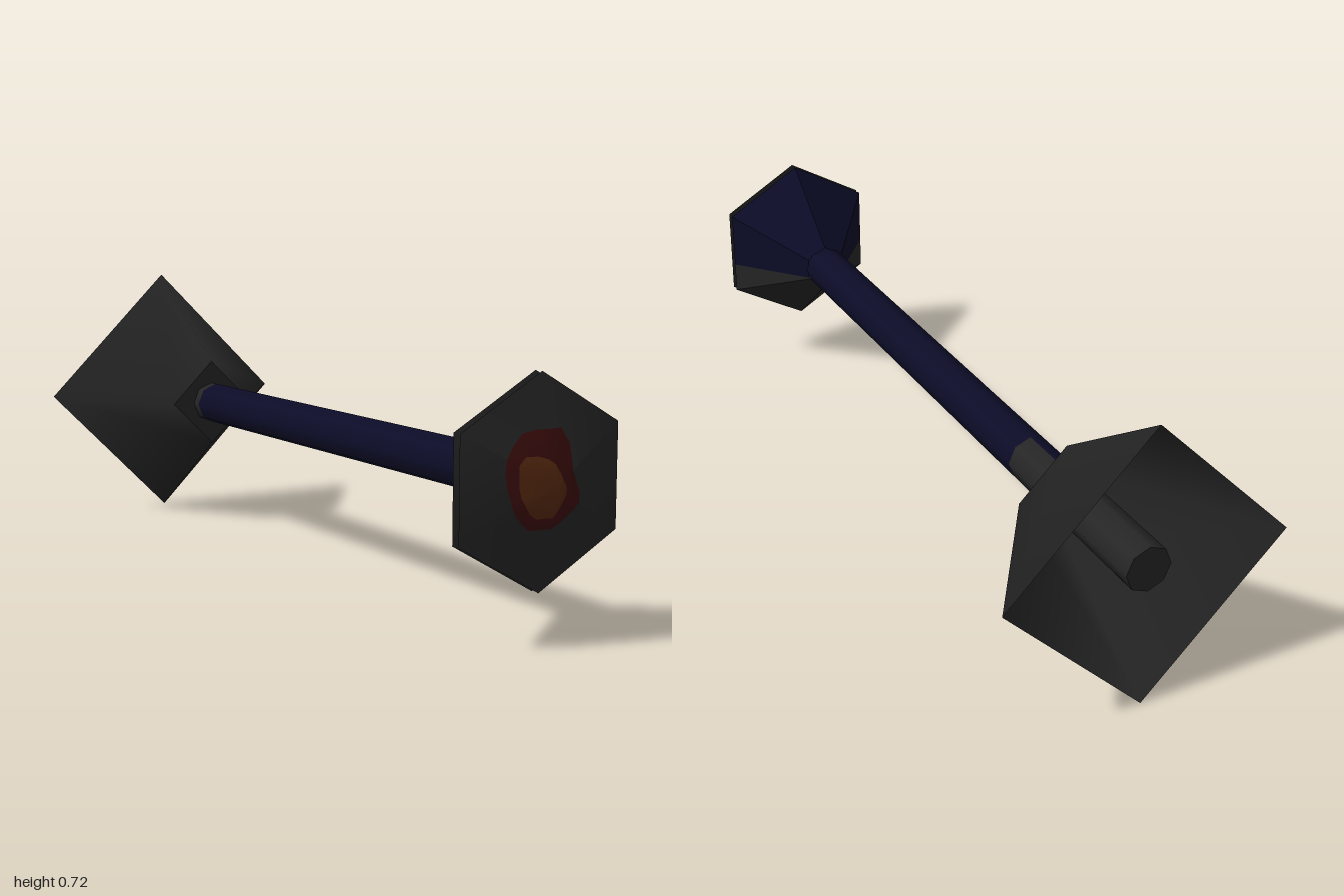
import * as THREE from 'three';

const MID = 0.358; // height of the long axis
const LENS_R = 0.237, LENS_Z = 0.937;

function material(name, color) {
  const m = new THREE.MeshStandardMaterial({ color, side: THREE.DoubleSide });
  m.name = name;
  return m;
}

export function createModel() {
  const grey = material('charcoal grey', 0x262626);
  const navy = material('dark navy', 0x0c0c28);
  const red = material('dark red', 0x3c0d0d);
  const orange = material('burnt orange', 0x552810);

  const model = new THREE.Group();
  model.name = 'torch';
  const body = new THREE.Group();
  body.name = 'body';
  body.position.y = MID;
  model.add(body);

  const add = (name, geometry, mat) => {
    const mesh = new THREE.Mesh(geometry, mat);
    mesh.name = name;
    body.add(mesh);
    return mesh;
  };

  // Tapered tube along z from zBack to zFront
  const tube = (rBack, rFront, zBack, zFront, sides, open = true, start = 0, sweep = Math.PI * 2) =>
    new THREE.CylinderGeometry(rFront, rBack, zFront - zBack, sides, 1, open, start, sweep)
      .rotateX(Math.PI / 2)
      .translate(0, 0, (zFront + zBack) / 2);

  // Four-sided flared bell, open at the back, with a flat front plate
  add('bell', tube(0.358, 0.12, -1, -0.65, 4), grey);
  add('bellPlate', new THREE.CircleGeometry(0.12, 4).translate(0, 0, -0.65), grey);

  // Shaft: navy, with a grey end that reaches further forward on the left
  add('shaftLeft', tube(0.057, 0.057, -0.49, 0.72, 4, true, 0, Math.PI), navy);
  add('shaftRight', tube(0.057, 0.057, -0.62, 0.72, 4, true, Math.PI, Math.PI), navy);
  add('shaftEndLeft', tube(0.057, 0.057, -0.62, -0.49, 4, true, 0, Math.PI), grey);
  add('shaftEnd', tube(0.057, 0.057, -0.995, -0.62, 8, false), grey);

  // Six-sided head, split lengthwise into a navy top and a grey underside
  const section = (r, split, z) => {
    const w = r * Math.cos(Math.PI / 6), h = r / 2;
    return {
      top: [[w, split, z], [w, h, z], [0, r, z], [-w, h, z], [-w, split, z]],
      under: [[-w, split, z], [-w, -h, z], [0, -r, z], [w, -h, z], [w, split, z]],
    };
  };
  const back = section(0.06, -0.026, 0.71), front = section(LENS_R, -0.035, 0.914);
  const loft = (a, b) => {
    const p = [];
    for (let i = 0; i < a.length - 1; i++) {
      p.push(...a[i], ...a[i + 1], ...b[i + 1], ...a[i], ...b[i + 1], ...b[i]);
    }
    const g = new THREE.BufferGeometry();
    g.setAttribute('position', new THREE.Float32BufferAttribute(p, 3));
    g.computeVertexNormals();
    return g;
  };
  add('headTop', loft(back.top, front.top), navy);
  add('headUnderside', loft(back.under, front.under), grey);
  add('headFront', tube(LENS_R, 0, 0.914, 0.975, 6), grey);

  // Shallow six-sided lens
  add('lens', tube(LENS_R, 0, LENS_Z, 0.998, 6), grey);

  // Glow patches: outlines given as radii every 15 degrees, laid on the lens
  const patch = (radii, lift) => {
    const n = radii.length, p = [], index = [];
    const slope = (0.998 - LENS_Z) / (LENS_R * Math.cos(Math.PI / 6));
    p.push(0, 0, 0.998 + lift);
    radii.forEach((r, i) => {
      const a = (i / n) * Math.PI * 2;
      const facet = Math.round(a / (Math.PI / 3)) * (Math.PI / 3);
      p.push(r * Math.cos(a), r * Math.sin(a), 0.998 + lift - slope * r * Math.cos(a - facet));
      index.push(0, i + 1, ((i + 1) % n) + 1);
    });
    const g = new THREE.BufferGeometry();
    g.setAttribute('position', new THREE.Float32BufferAttribute(p, 3));
    g.setIndex(index);
    g.computeVertexNormals();
    return g;
  };
  add('outerGlow', patch([
    0.063, 0.058, 0.057, 0.071, 0.1, 0.123, 0.119, 0.123, 0.13, 0.126, 0.125, 0.115,
    0.107, 0.103, 0.105, 0.104, 0.106, 0.095, 0.092, 0.084, 0.081, 0.081, 0.082, 0.075,
  ], 0.001), red);
  add('innerGlow', patch([
    0.026, 0.023, 0.021, 0.022, 0.027, 0.034, 0.048, 0.061, 0.075, 0.092, 0.096, 0.086,
    0.082, 0.08, 0.078, 0.079, 0.078, 0.069, 0.067, 0.05, 0.04, 0.035, 0.031, 0.028,
  ], 0.002), orange);

  return model;
}
